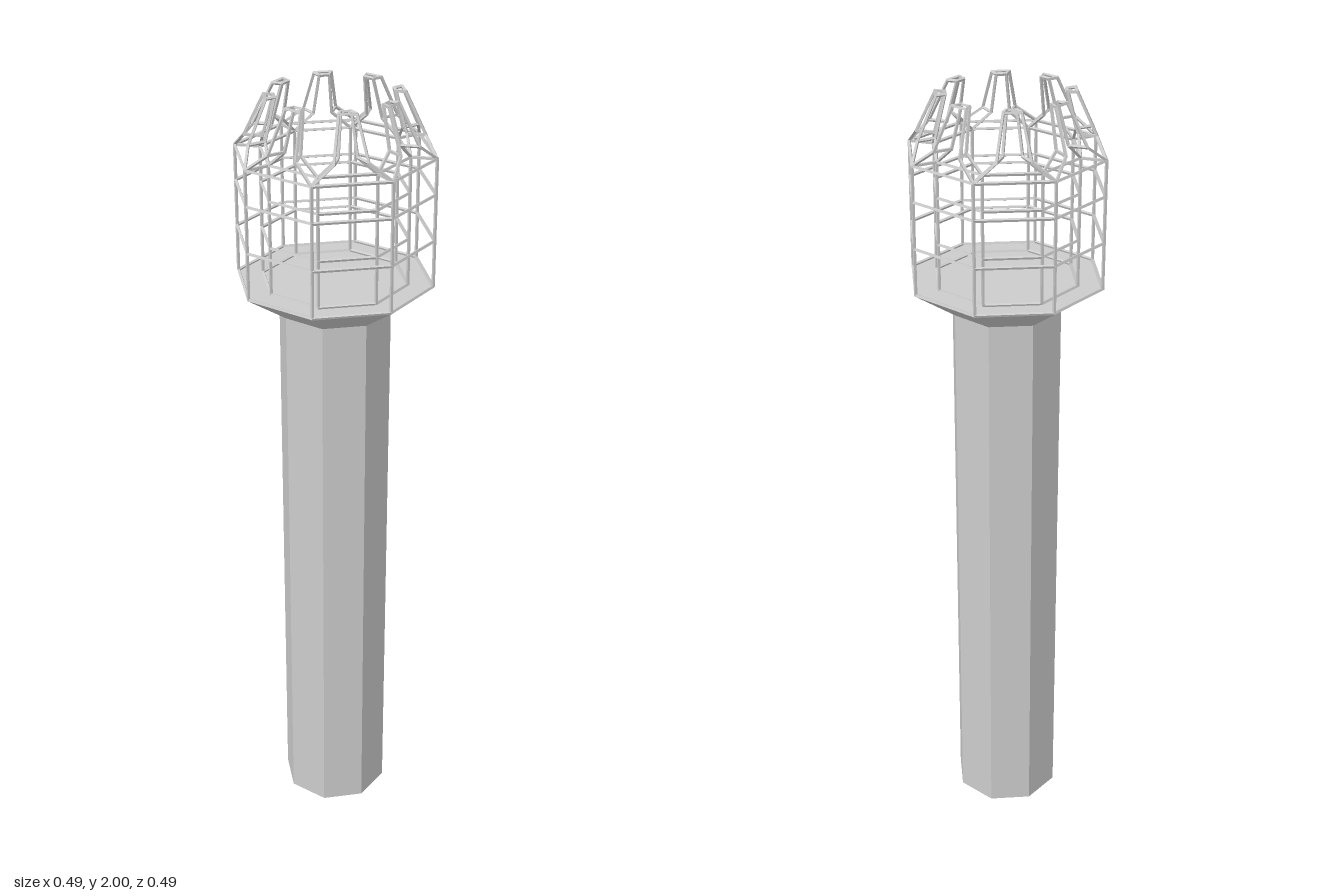
import * as THREE from 'three';
import { mergeGeometries } from 'three/addons/utils/BufferGeometryUtils.js';

const SIDES = 8, STEP = Math.PI / 4, WIRE = 0.006;
const OUTER = 0.242, INNER = 0.18;
const LEVELS = [1.538, 1.655, 1.77, 1.857];

// Thin square bar between two points
function bar(a, b) {
  const dir = b.clone().sub(a);
  const g = new THREE.BoxGeometry(WIRE, dir.length() + WIRE * 0.5, WIRE);
  const q = new THREE.Quaternion().setFromUnitVectors(new THREE.Vector3(0, 1, 0), dir.normalize());
  g.applyQuaternion(q);
  const mid = a.clone().add(b).multiplyScalar(0.5);
  return g.translate(mid.x, mid.y, mid.z);
}

const corner = (i, r, y) =>
  new THREE.Vector3(Math.sin(i * STEP) * r, y, Math.cos(i * STEP) * r);

export function createModel() {
  const group = new THREE.Group();
  const material = new THREE.MeshStandardMaterial({ color: 0xcccccc, flatShading: true });
  const add = (name, geometry) => {
    const mesh = new THREE.Mesh(geometry, material);
    mesh.name = name;
    group.add(mesh);
  };

  // Octagonal shaft and the flared collar carrying the cage
  add('shaft', new THREE.CylinderGeometry(0.14, 0.14, 1.465, SIDES).translate(0, 0.7325, 0));
  add('collar', new THREE.CylinderGeometry(0.244, 0.14, 0.07, SIDES).translate(0, 1.5, 0));

  // Outer and inner wire walls: rings and uprights
  for (const [name, r] of [['outerCage', OUTER], ['innerCage', INNER]]) {
    const bars = [];
    for (let i = 0; i < SIDES; i++) {
      for (const y of LEVELS) bars.push(bar(corner(i, r, y), corner(i + 1, r, y)));
      bars.push(bar(corner(i, r, LEVELS[0]), corner(i, r, LEVELS[3])));
    }
    add(name, mergeGeometries(bars));
  }

  // Crown prongs: one side of a prong, from notch valley to shoulder to tip,
  // mirrored across the middle of each octagon side
  const v = (x, y, z) => new THREE.Vector3(x, y, z);
  const outerSide = [v(0, 1.857, OUTER), v(0.043, 1.898, 0.207), v(0.043, 1.997, 0.158)];
  const innerSide = [v(0, 1.857, INNER), v(0.043, 1.898, 0.162), v(0.043, 1.997, 0.135)];
  const c = Math.SQRT1_2;
  const mirror = p => v((p.z - p.x) * c, p.y, (p.x + p.z) * c);

  const prong = [];
  for (const side of [outerSide, innerSide]) {
    const other = side.map(mirror);
    for (const s of [side, other]) prong.push(bar(s[0], s[1]), bar(s[1], s[2]));
    prong.push(bar(side[2], other[2]));
  }
  // Links between the outer and inner walls
  outerSide.forEach((p, i) => {
    prong.push(bar(p, innerSide[i]));
    if (i > 0) prong.push(bar(mirror(p), mirror(innerSide[i])));
  });
  const prongGeometry = mergeGeometries(prong);
  for (let i = 0; i < SIDES; i++) add('crownProng', prongGeometry.clone().rotateY(i * STEP));

  return group;
}
